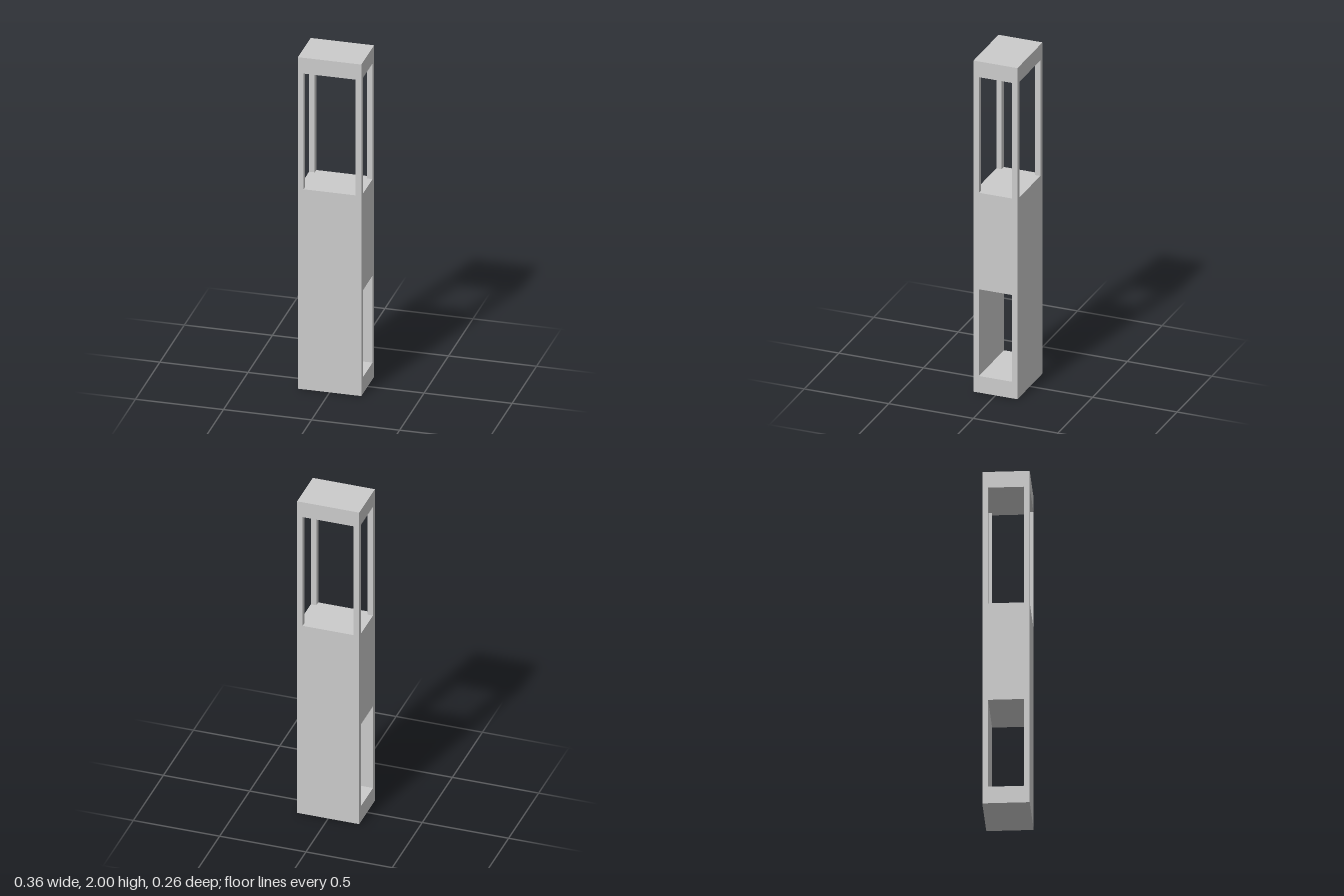
import * as THREE from 'three';

const W = 0.36, D = 0.26, H = 2;      // overall size
const T = 0.032;                      // post and wall thickness
const DECK = 1.207, CAP = 1.905;      // top of the base, underside of the cap
const NICHE = [0.1, 0.624];           // bottom and top of the lower opening

export function createModel() {
  const model = new THREE.Group();
  const material = new THREE.MeshStandardMaterial({ color: 0xcccccc, flatShading: true });

  const add = (name, geometry, x, y, z) => {
    const mesh = new THREE.Mesh(geometry, material);
    mesh.name = name;
    mesh.position.set(x, y, z);
    model.add(mesh);
  };

  const rect = (path, x, y0, y1) => path
    .moveTo(-x, y0).lineTo(x, y0).lineTo(x, y1).lineTo(-x, y1).closePath();

  // Base: side profile with an opening running through from left to right
  const profile = new THREE.Shape();
  rect(profile, D / 2, 0, DECK);
  const opening = new THREE.Path();
  rect(opening, D / 2 - T, ...NICHE);
  profile.holes.push(opening);
  const base = new THREE.ExtrudeGeometry(profile, { depth: W, bevelEnabled: false });
  base.translate(0, 0, -W / 2).rotateY(Math.PI / 2);
  add('base', base, 0, 0, 0);

  // Four corner posts around the open upper section
  const post = new THREE.BoxGeometry(T, CAP - DECK, T);
  for (const [sx, side] of [[1, 'Left'], [-1, 'Right']]) {
    for (const [sz, end] of [[1, 'front'], [-1, 'back']]) {
      add(`${end}${side}Post`, post, sx * (W - T) / 2, (CAP + DECK) / 2, sz * (D - T) / 2);
    }
  }

  // Solid cap
  add('cap', new THREE.BoxGeometry(W, H - CAP, D), 0, (H + CAP) / 2, 0);

  return model;
}
